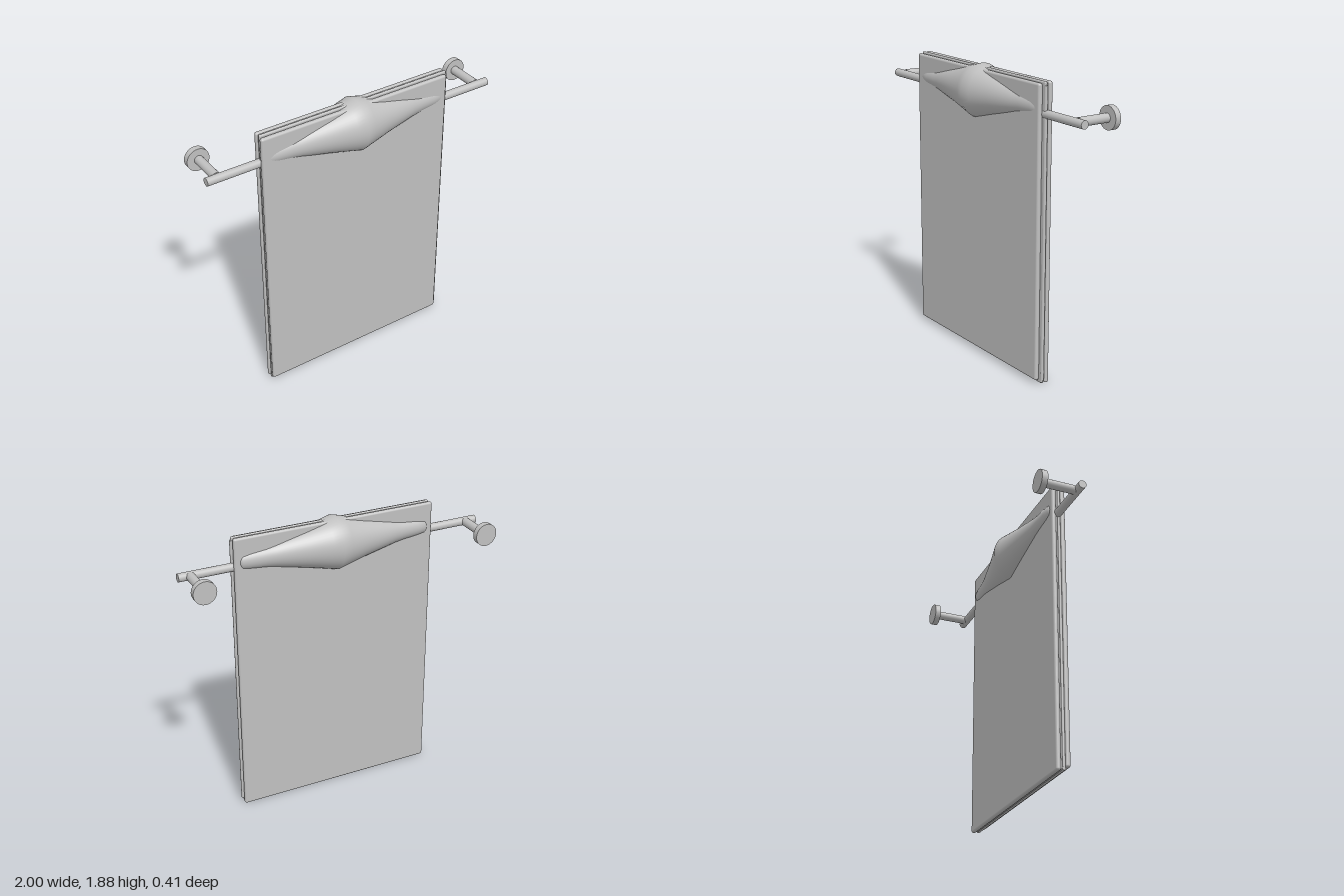
import * as THREE from 'three';
import { RoundedBoxGeometry } from 'three/addons/geometries/RoundedBoxGeometry.js';

export function createModel() {
  const group = new THREE.Group();
  const grey = new THREE.MeshStandardMaterial({ color: 0xc0c0c0 });
  grey.name = 'plain grey';

  const add = (name, geometry, x, y, z) => {
    const mesh = new THREE.Mesh(geometry, grey);
    mesh.name = name;
    mesh.position.set(x, y, z);
    group.add(mesh);
    return mesh;
  };

  // Folded cloth layers: [name, x0, x1, y0, y1, z0, z1]
  const layers = [
    ['frontSheet', -0.66, 0.645, 0.03, 1.862, 0.066, 0.098],
    ['innerFrontSheet', -0.655, 0.662, 0.015, 1.872, 0.048, 0.067],
    ['innerBackSheet', -0.65, 0.65, 0.012, 1.866, 0.036, 0.05],
    ['backSheet', -0.66, 0.662, 0.006, 1.872, 0.008, 0.038],
  ];
  for (const [name, x0, x1, y0, y1, z0, z1] of layers) {
    const w = x1 - x0, h = y1 - y0, d = z1 - z0;
    add(name, new RoundedBoxGeometry(w, h, d, 4, d * 0.45),
      (x0 + x1) / 2, (y0 + y1) / 2, (z0 + z1) / 2);
  }

  // Rolled hems at the open side and bottom of the cloth
  add('sideHem', new THREE.CylinderGeometry(0.011, 0.011, 1.82, 12), 0.659, 0.94, 0.058);
  const bottomHem = add('bottomHem', new THREE.CylinderGeometry(0.011, 0.011, 1.31, 12), 0, 0.02, 0.056);
  bottomHem.rotation.z = Math.PI / 2;

  // Spindle-shaped bulge where the cloth wraps the rail
  const half = [[0, 0.17], [0.06, 0.155], [0.2, 0.121], [0.4, 0.079], [0.46, 0.07],
    [0.56, 0.062], [0.61, 0.055], [0.635, 0.035], [0.64, 0]];
  const profile = [
    ...half.slice(1).reverse().map(([x, r]) => new THREE.Vector2(r, -x)),
    ...half.map(([x, r]) => new THREE.Vector2(r, x)),
  ];
  const bulge = new THREE.LatheGeometry(profile, 48);
  bulge.rotateZ(-Math.PI / 2);
  bulge.scale(1, 1, 0.92);
  add('wrapBulge', bulge, 0, 1.717, 0.047);

  // Rail
  const rail = add('rail', new THREE.CylinderGeometry(0.026, 0.026, 2, 24), 0, 1.683, 0.05);
  rail.rotation.z = Math.PI / 2;

  // Wall brackets on both sides
  for (const side of [-1, 1]) {
    const label = side > 0 ? 'left' : 'right';
    const post = add(label + 'Post', new THREE.CylinderGeometry(0.028, 0.028, 0.215, 24), side * 0.925, 1.683, -0.072);
    const plate = add(label + 'WallPlate', new THREE.CylinderGeometry(0.072, 0.072, 0.038, 32), side * 0.928, 1.683, -0.191);
    post.rotation.x = plate.rotation.x = Math.PI / 2;
  }
  return group;
}
